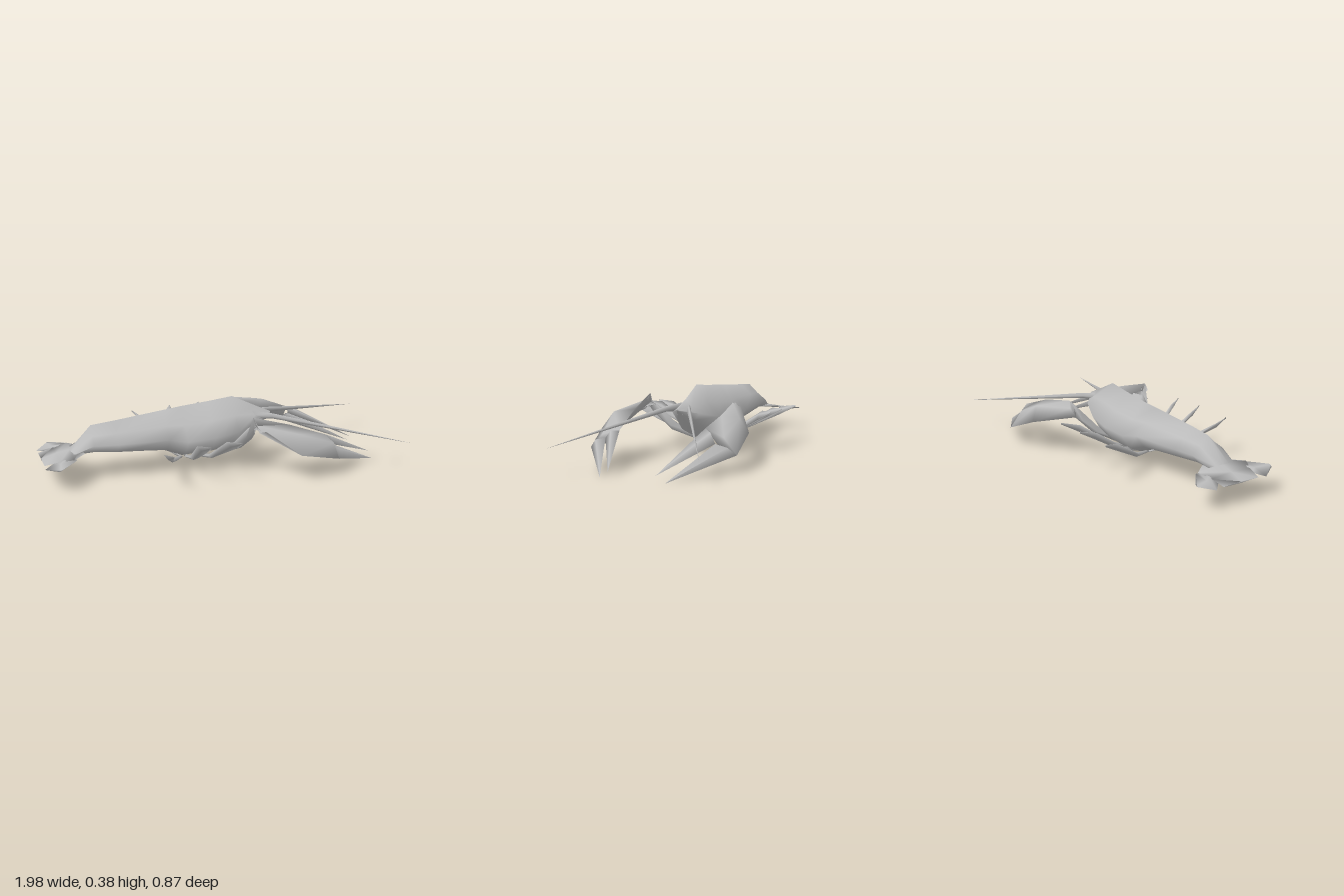
import * as THREE from 'three';

const shell = new THREE.MeshStandardMaterial({ color: 0xbbbbbb, side: THREE.DoubleSide });
shell.name = 'shell grey';
const V = (p) => new THREE.Vector3(...p);

// Smooth skin over closed rings of points, with capped ends facing outward
function loft(name, rings) {
  const n = rings[0].length, pos = rings.flat(), idx = [];
  for (let i = 0; i < rings.length - 1; i++) {
    for (let j = 0; j < n; j++) {
      const a = i * n + j, b = i * n + (j + 1) % n;
      idx.push(a, b, a + n, b, b + n, a + n);
    }
  }
  const e = (rings.length - 1) * n;
  for (let j = 1; j < n - 1; j++) idx.push(0, j + 1, j, e, e + j, e + j + 1);
  // The sign of the enclosed volume tells which way the corners run
  let volume = 0;
  for (let i = 0; i < idx.length; i += 3) {
    volume += pos[idx[i]].dot(pos[idx[i + 1]].clone().cross(pos[idx[i + 2]]));
  }
  if (volume < 0) idx.reverse();
  const g = new THREE.BufferGeometry().setFromPoints(pos);
  g.setIndex(idx);
  g.computeVertexNormals();
  const mesh = new THREE.Mesh(g, shell);
  mesh.name = name;
  return mesh;
}

// Diamond-sectioned limb; each station is [edge, opposite edge, half thickness]
function blade(name, stations) {
  const mids = stations.map(([a, b]) => V(a).add(V(b)).multiplyScalar(0.5));
  const axis = mids[mids.length - 1].clone().sub(mids[0]);
  return loft(name, stations.map(([a, b, t], i) => {
    const n = V(b).sub(V(a)).cross(axis).normalize().multiplyScalar(t);
    return [V(a), mids[i].clone().add(n), V(b), mids[i].clone().sub(n)];
  }));
}

export function createModel() {
  const model = new THREE.Group();
  model.name = 'lobster';

  // Carapace and abdomen: x, top, bottom, right edge, left edge
  const sections = [
    [-0.83, 0.155, 0.135, -0.09, 0.07],
    [-0.71, 0.282, 0.13, -0.115, 0.09],
    [-0.58, 0.298, 0.12, -0.13, 0.11],
    [-0.3, 0.332, 0.1, -0.155, 0.115],
    [-0.2, 0.344, 0.06, -0.175, 0.125],
    [-0.05, 0.361, 0.07, -0.18, 0.14],
    [0.09, 0.38, 0.09, -0.155, 0.125],
    [0.22, 0.318, 0.19, -0.095, 0.07],
    [0.31, 0.278, 0.262, -0.012, 0.0],
  ];
  const ring = [[0, 1], [0.5, 0.68], [1, 0.42], [0.6, 0.12], [0, 0],
    [-0.6, 0.12], [-1, 0.42], [-0.5, 0.68]];
  model.add(loft('body', sections.map(([x, top, bottom, right, left]) => {
    const c = (right + left) / 2, w = (left - right) / 2;
    return ring.map(([u, v]) => V([x, bottom + v * (top - bottom), c + u * w]));
  })));

  // Tail fan
  model.add(blade('tailFan', [
    [[-0.76, 0.15, -0.09], [-0.76, 0.15, 0.07], 0.015],
    [[-0.82, 0.145, -0.17], [-0.83, 0.145, 0.145], 0.012],
    [[-0.9, 0.13, -0.15], [-0.9, 0.13, 0.11], 0.01],
    [[-0.98, 0.11, -0.14], [-0.98, 0.11, 0.09], 0.004],
  ]));
  for (const [name, z] of [['rightTailFluke', [-0.16, -0.13, -0.26, -0.19]],
    ['leftTailFluke', [0.12, 0.09, 0.235, 0.14]]]) {
    model.add(blade(name, [
      [[-0.815, 0.14, z[0]], [-0.93, 0.12, z[1]], 0.008],
      [[-0.815, 0.14, z[0] + 0.02 * Math.sign(z[0])], [-0.985, 0.105, z[3]], 0.008],
      [[-0.905, 0.13, z[2]], [-0.925, 0.12, z[2]], 0.003],
    ]));
  }

  // Walking legs: root x, mid x, broad outer x, tip x, tip z, tip y
  const legs = [
    [-0.21, -0.3, -0.395, -0.36, 0.43, 0.2],
    [-0.18, -0.18, -0.21, -0.155, 0.41, 0.225],
    [-0.11, -0.075, -0.045, 0.018, 0.4, 0.23],
    [-0.21, -0.315, -0.38, -0.39, -0.42, 0.215],
    [-0.18, -0.185, -0.21, -0.165, -0.42, 0.23],
    [-0.11, -0.085, -0.06, 0.01, -0.42, 0.235],
  ];
  for (const [root, mid, broad, tip, z, y] of legs) {
    model.add(blade(z > 0 ? 'leftLeg' : 'rightLeg', [
      [[root - 0.01, 0.06, 0], [root + 0.01, 0.06, 0], 0.008],
      [[mid - 0.025, 0.105, z * 0.38], [mid + 0.025, 0.095, z * 0.38], 0.012],
      [[broad, y, z * 0.82], [broad + 0.055, y - 0.045, z * 0.8], 0.01],
      [[tip, y + 0.01, z], [tip, y, z], 0.002],
    ]));
  }

  // Claw arms
  model.add(blade('leftArm', [
    [[-0.03, 0.08, 0.02], [0.06, 0.08, 0.02], 0.015],
    [[0.02, 0.12, 0.12], [0.165, 0.16, 0.11], 0.022],
    [[0.09, 0.21, 0.235], [0.168, 0.27, 0.19], 0.025],
    [[0.13, 0.325, 0.245], [0.17, 0.25, 0.27], 0.02],
  ]));
  model.add(blade('rightArm', [
    [[-0.02, 0.08, -0.05], [0.06, 0.08, -0.04], 0.015],
    [[0.045, 0.13, -0.15], [0.155, 0.14, -0.12], 0.022],
    [[0.055, 0.21, -0.245], [0.18, 0.25, -0.215], 0.025],
    [[0.14, 0.305, -0.265], [0.09, 0.23, -0.285], 0.02],
  ]));

  // Claws: palm stations, then two fingers sharing the notch point
  const claws = [
    { side: 'left',
      palm: [[[0.13, 0.325, 0.245], [0.16, 0.24, 0.26], 0.02],
        [[0.34, 0.265, 0.235], [0.34, 0.15, 0.435], 0.045]],
      inner: [0.555, 0.185, 0.215], outer: [0.58, 0.09, 0.372], notch: [0.58, 0.145, 0.285],
      innerTip: [0.865, 0.03, 0.12], outerTip: [0.865, 0, 0.165] },
    { side: 'right',
      palm: [[[0.16, 0.305, -0.26], [0.07, 0.235, -0.28], 0.02],
        [[0.36, 0.27, -0.28], [0.3, 0.175, -0.41], 0.04]],
      inner: [0.5, 0.22, -0.25], outer: [0.51, 0.095, -0.428], notch: [0.56, 0.155, -0.33],
      innerTip: [0.865, 0.035, -0.145], outerTip: [0.865, 0, -0.195] },
  ];
  for (const c of claws) {
    model.add(blade(c.side + 'Palm', [...c.palm, [c.inner, c.outer, 0.028]]));
    model.add(blade(c.side + 'InnerFinger', [[c.inner, c.notch, 0.022], [c.innerTip, c.innerTip, 0]]));
    model.add(blade(c.side + 'OuterFinger', [[c.notch, c.outer, 0.022], [c.outerTip, c.outerTip, 0]]));
  }

  // Antennae and small mouth feelers
  for (const [s, tip] of [[1, [0.998, 0.148, 0.4]], [-1, [0.98, 0.148, -0.43]]]) {
    const side = s > 0 ? 'left' : 'right';
    model.add(blade(side + 'Antenna', [
      [[0.2, 0.295, 0.02 * s], [0.2, 0.25, 0.02 * s], 0.012],
      [[0.3, 0.285, 0.067 * s], [0.3, 0.255, 0.067 * s], 0.011],
      [tip, tip, 0],
    ]));
    model.add(blade(side + 'Feeler', [
      [[0.2, 0.26, 0.03 * s - 0.01], [0.2, 0.22, 0.03 * s - 0.01], 0.012],
      [[0.29, 0.24, 0.012 * s - 0.005], [0.29, 0.24, 0.012 * s - 0.005], 0],
    ]));
  }
  return model;
}
